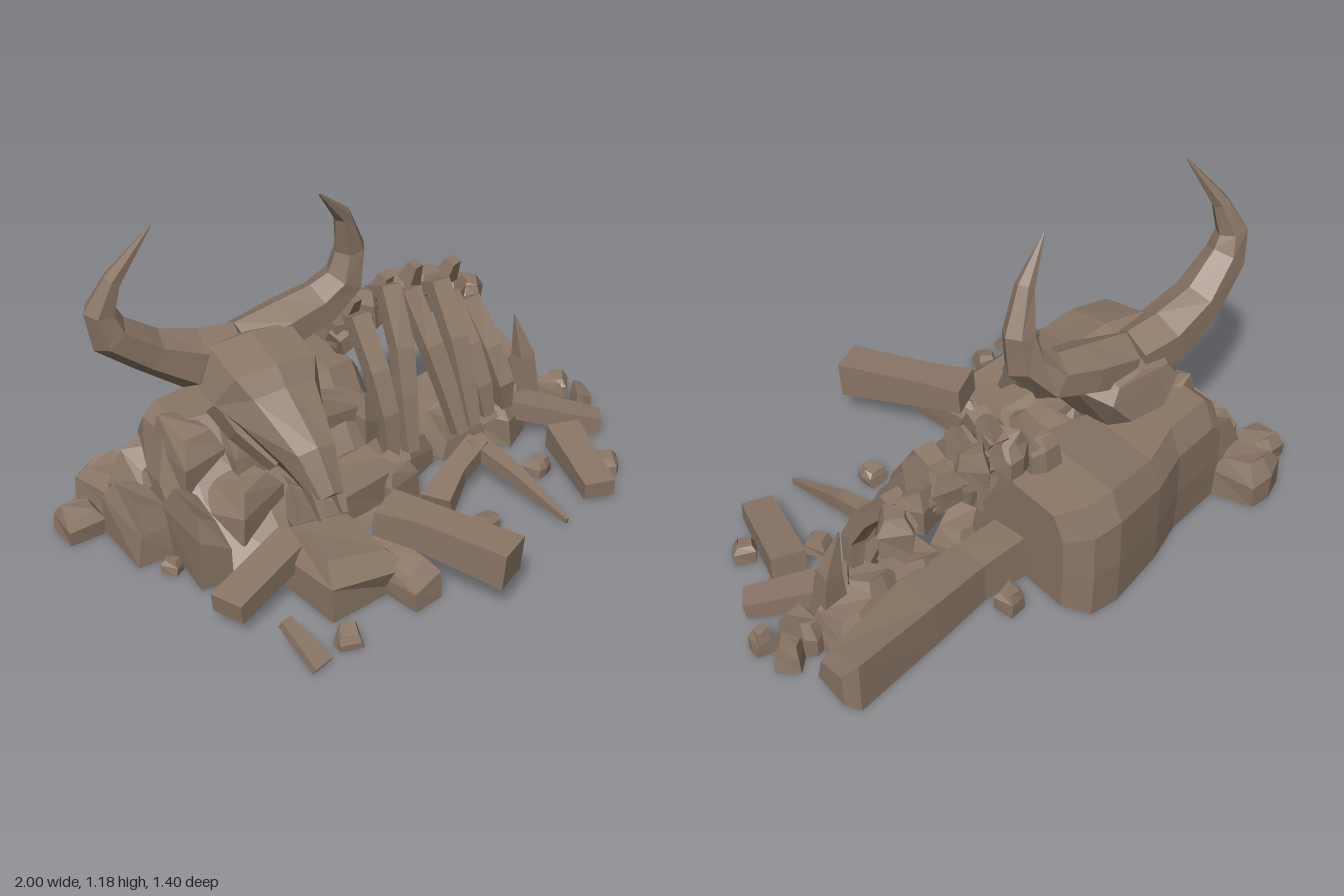
import * as THREE from 'three';

const bone = new THREE.MeshStandardMaterial({ color: 0x8a7666 });
bone.name = 'weathered brown';
const V = (x, y, z) => new THREE.Vector3(x, y, z);

function random(seed) {
  let s = seed * 7919 + 17;
  return () => (s = (s * 16807) % 2147483647) / 2147483647;
}

// Closed, faceted skin over a row of rings with equal point counts
function loft(rings) {
  const n = rings[0].length, tris = [];
  const quad = (a, b, c, d) => tris.push([a, b, c], [a, c, d]);
  for (let i = 0; i + 1 < rings.length; i++)
    for (let j = 0; j < n; j++) {
      const k = (j + 1) % n;
      quad(rings[i][j], rings[i][k], rings[i + 1][k], rings[i + 1][j]);
    }
  const a = rings[0], b = rings[rings.length - 1];
  for (let j = 1; j + 1 < n; j++) {
    tris.push([a[0], a[j + 1], a[j]], [b[0], b[j], b[j + 1]]);
  }
  // Turn the skin outward if its volume is negative
  let volume = 0;
  for (const [p, q, r] of tris) volume += p.dot(q.clone().cross(r));
  const pos = [];
  for (const [p, q, r] of tris)
    for (const v of volume < 0 ? [p, r, q] : [p, q, r]) pos.push(v.x, v.y, v.z);
  const geo = new THREE.BufferGeometry();
  geo.setAttribute('position', new THREE.Float32BufferAttribute(pos, 3));
  geo.computeVertexNormals();
  return geo;
}

// Bar along points [x, y, z, halfWidth, halfDepth]; ref sets the width direction
function bar(points, sides = 4, ref = null) {
  const p = points.map(q => V(q[0], q[1], q[2]));
  const whole = p[p.length - 1].clone().sub(p[0]);
  const axis = ref || V(-whole.z, 0, whole.x).normalize();
  const grow = sides === 4 ? Math.SQRT2 : 1;
  return loft(p.map((c, i) => {
    const dir = p[Math.min(i + 1, p.length - 1)].clone().sub(p[Math.max(i - 1, 0)]).normalize();
    const u = axis.clone().addScaledVector(dir, -axis.dot(dir)).normalize();
    const v = dir.clone().cross(u);
    const [, , , w, h = w] = points[i];
    return Array.from({ length: sides }, (_, j) => {
      const t = (j + 0.5) / sides * Math.PI * 2;
      return c.clone().addScaledVector(u, Math.cos(t) * w * grow).addScaledVector(v, Math.sin(t) * h * grow);
    });
  }));
}

// Irregular wedge-like block, corners shifted and top tilted by a seeded rule
function rock(x, y, z, w, h, d, turn, seed) {
  const rnd = random(seed + 3);
  rnd(); rnd();
  const tilt = (rnd() - 0.5) * 0.5;
  const rings = [[-0.5, 1], [0.05, 0.97], [0.42, 0.65]].map(([ly, s]) =>
    [[-1, -1], [0.1, -1.1], [1, -0.8], [1, 0.9], [-0.9, 1]].map(([lx, lz]) => {
      const k = () => 0.85 + rnd() * 0.28;
      const yy = ly < 0 ? ly : ly + (rnd() - 0.5) * 0.2 + tilt * lx * 0.5;
      return V(lx * s * w / 2 * k(), yy * h, lz * s * d / 2 * k())
        .applyAxisAngle(V(0, 1, 0), turn).add(V(x, y + h / 2, z));
    }));
  return loft(rings);
}

export function createModel() {
  const model = new THREE.Group();
  model.name = 'beastRemains';
  const add = (name, geo, parent = model) => {
    const m = new THREE.Mesh(geo, bone);
    m.name = name;
    parent.add(m);
  };
  const group = name => {
    const g = new THREE.Group();
    g.name = name;
    model.add(g);
    return g;
  };

  // Main mound: sections of x, back z, top y, top front z, front z
  add('mound', loft([
    [-0.71, -0.42, 0.22, -0.27, -0.04], [-0.67, -0.5, 0.37, -0.3, 0.03], [-0.62, -0.51, 0.41, -0.3, 0.06],
    [-0.43, -0.55, 0.41, -0.28, 0.14], [-0.28, -0.62, 0.4, -0.27, 0.1], [-0.05, -0.69, 0.44, -0.28, 0.05],
    [0.06, -0.69, 0.43, -0.31, 0.01], [0.11, -0.6, 0.36, -0.35, -0.03],
  ].map(([x, b, t, tf, f]) => [
    V(x, 0.01, b), V(x, t * 0.4, b - 0.005), V(x, t * 0.78, b), V(x, t, b + 0.05), V(x, t, tf),
    V(x, t * 0.45, tf + (f - tf) * 0.5), V(x, 0.01, f)])));

  // Low slab under the ribs
  add('sideSlab', loft([
    [0.08, -0.42, -0.2, 0.17], [0.28, -0.43, -0.2, 0.15], [0.52, -0.49, -0.2, 0.17],
    [0.87, -0.57, -0.38, 0.19], [0.9, -0.52, -0.38, 0.12],
  ].map(([x, b, f, t]) => [V(x, 0.01, b), V(x, t, b + 0.01), V(x, t * 0.85, (b + f) / 2 + 0.05), V(x, 0.02, f)])));

  // Skull: sections of centre x, top z y, bottom z y, half width
  const skull = group('skull');
  add('cranium', loft([
    [-0.37, -0.42, 0.62, -0.45, 0.47, 0.14], [-0.37, -0.24, 0.705, -0.37, 0.42, 0.2],
    [-0.37, -0.07, 0.665, -0.22, 0.38, 0.195], [-0.365, -0.025, 0.6, -0.08, 0.36, 0.15],
    [-0.345, 0.13, 0.45, 0.0, 0.305, 0.09], [-0.33, 0.2, 0.31, 0.12, 0.26, 0.055],
  ].map(([x, zt, yt, zb, yb, w]) => {
    const zm = zt * 0.55 + zb * 0.45, ym = yt * 0.55 + yb * 0.45;
    return [V(x - w * 0.75, yt - 0.015, zt), V(x, yt, zt + 0.01), V(x + w * 0.75, yt - 0.015, zt),
      V(x + w, ym, zm), V(x + w * 0.5, yb, zb), V(x - w * 0.5, yb, zb), V(x - w, ym, zm)];
  })), skull);
  for (const s of [-1, 1]) {
    add('noseProng', bar([[-0.33 + s * 0.04, 0.36, 0.1, 0.028, 0.04], [-0.33 + s * 0.04, 0.22, 0.205, 0.01, 0.01]]), skull);
    add('cheek', bar([[-0.37 + s * 0.16, 0.52, -0.17, 0.03, 0.05], [-0.365 + s * 0.135, 0.44, -0.1, 0.025, 0.04],
      [-0.35 + s * 0.07, 0.34, 0.0, 0.02, 0.03]], 4, V(1, 0, 0)), skull);
  }

  // Horns
  add('rightHorn', bar([[-0.4, 0.61, -0.31, 0.1, 0.1], [-0.55, 0.625, -0.31, 0.105, 0.105], [-0.7, 0.705, -0.31, 0.09, 0.075],
    [-0.835, 0.81, -0.29, 0.07, 0.07], [-0.86, 0.9, -0.285, 0.055, 0.055], [-0.82, 1.01, -0.26, 0.035, 0.03],
    [-0.71, 1.185, -0.2, 0.003, 0.003]], 6, V(0, 0, 1)), skull);
  add('leftHorn', bar([[-0.36, 0.61, -0.31, 0.1, 0.1], [-0.2, 0.655, -0.31, 0.105, 0.085], [-0.06, 0.69, -0.31, 0.09, 0.08],
    [0.02, 0.77, -0.285, 0.075, 0.07], [0.04, 0.88, -0.28, 0.055, 0.055], [-0.005, 1.02, -0.25, 0.035, 0.03],
    [-0.12, 1.14, -0.2, 0.003, 0.003]], 6, V(0, 0, 1)), skull);

  // Spine: drooping bar with a knuckle on each section
  const ribs = group('ribCage');
  add('spine', bar([[0.02, 0.48, -0.35, 0.05], [0.2, 0.54, -0.38, 0.045], [0.4, 0.56, -0.4, 0.045],
    [0.55, 0.52, -0.41, 0.05], [0.67, 0.39, -0.41, 0.015]], 5), ribs);
  [[0.07, 0.47], [0.19, 0.5], [0.32, 0.52], [0.44, 0.51], [0.53, 0.47], [0.61, 0.42]].forEach(([x, y], i) =>
    add('vertebra', rock(x, y, -0.4, 0.11, 0.13, 0.12, i * 0.5, i + 1), ribs));
  // Spines above the vertebrae
  for (const [x, y] of [[0.08, 0.64], [0.21, 0.69], [0.33, 0.7], [0.49, 0.67]])
    add('spineTip', bar([[x, 0.54, -0.41, 0.045], [x + 0.02, y, -0.35, 0.02]]), ribs);
  // Ribs: top x, foot x, top y, foot y, foot z
  for (const [x, fx, y, fy, fz] of [[0.09, 0.1, 0.57, 0.12, -0.12], [0.22, 0.16, 0.65, 0.14, -0.09],
    [0.29, 0.36, 0.61, 0.15, -0.08], [0.42, 0.42, 0.61, 0.16, -0.09], [0.46, 0.5, 0.55, 0.16, -0.12],
    [0.55, 0.6, 0.5, 0.15, -0.15]]) {
    const at = t => x + (fx - x) * t;
    add('rib', bar([[x, y - 0.05, -0.4, 0.035], [at(0.1), y, -0.31, 0.036, 0.035], [at(0.4), y * 0.74, -0.2, 0.035, 0.03],
      [at(0.75), y * 0.5, -0.14, 0.031, 0.028], [fx, fy, fz, 0.022, 0.025]], 4, V(1, 0, 0)), ribs);
  }

  // Stacked boulders: x, base y, z, width, height, depth, turn
  const pile = group('boulders');
  [[-0.6, 0.2, -0.28, 0.17, 0.23, 0.22, 0.1], [-0.69, 0.02, -0.05, 0.12, 0.26, 0.31, -0.1],
    [-0.5, 0.08, -0.1, 0.22, 0.2, 0.2, 0.3], [-0.42, 0.2, -0.2, 0.18, 0.2, 0.18, 0],
    [-0.1, 0.22, -0.24, 0.26, 0.2, 0.15, 0.05], [-0.1, 0.03, -0.05, 0.3, 0.19, 0.16, 0.1],
    [-0.3, 0.01, 0.02, 0.2, 0.19, 0.2, -0.2], [0.04, 0.13, -0.23, 0.12, 0.25, 0.18, 0.2],
    [-0.25, 0.12, -0.13, 0.2, 0.18, 0.16, 0.3], [-0.355, 0.01, 0.25, 0.33, 0.18, 0.39, 0.03],
    [-0.2, 0.01, 0.38, 0.13, 0.13, 0.28, 0.15], [-0.755, 0.01, -0.54, 0.18, 0.17, 0.2, 0.4],
    [-0.78, 0.01, -0.28, 0.16, 0.2, 0.26, 0], [-0.69, 0.01, -0.42, 0.19, 0.28, 0.17, 0.2],
    [0.04, 0.01, -0.04, 0.15, 0.17, 0.15, 0.3], [0.2, 0.01, -0.18, 0.16, 0.15, 0.14, 0.4],
    [0.42, 0.01, -0.22, 0.2, 0.15, 0.16, 0.1], [0.6, 0.01, -0.2, 0.17, 0.16, 0.19, 0.5],
    [0.73, 0.01, -0.28, 0.19, 0.16, 0.2, 0.2], [0.85, 0.01, -0.22, 0.09, 0.12, 0.14, 0.1],
  ].forEach((r, i) => add('boulder', rock(...r, i + 20), pile));

  // Loose stones around the edge: x, z, size, height
  const stones = group('looseStones');
  [[-0.93, -0.44, 0.14, 0.1], [-0.77, -0.08, 0.06, 0.05], [-0.49, 0.55, 0.08, 0.06], [0.24, -0.5, 0.08, 0.08],
    [0.93, -0.27, 0.09, 0.11], [0.97, -0.17, 0.06, 0.1], [0.57, 0.1, 0.08, 0.06], [0.78, 0.22, 0.08, 0.07],
    [0.22, 0.28, 0.08, 0.06]].forEach(([x, z, s, h], i) =>
    add('stone', rock(x, 0.01, z, s, h, s, i * 0.6, i + 50), stones));

  // Fallen bones and shards
  const fallen = group('fallenBones');
  add('jutBeam', bar([[-0.18, 0.215, 0.26, 0.075, 0.045], [-0.1, 0.2, 0.39, 0.06, 0.055], [0.045, 0.17, 0.665, 0.065, 0.065]]), fallen);
  add('sideBeam', bar([[-0.77, 0.09, 0.29, 0.06, 0.035], [-0.45, 0.14, 0.16, 0.06, 0.04]]), fallen);
  add('leaningShard', bar([[-0.62, 0.02, 0.61, 0.04, 0.015], [-0.67, 0.12, 0.47, 0.02, 0.015]]), fallen);
  add('cornerBeam', bar([[0.64, 0.13, -0.19, 0.06, 0.035], [0.92, 0.05, 0.0, 0.045, 0.03]]), fallen);
  add('thickBone', bar([[0.73, 0.08, 0.03, 0.06, 0.045], [0.64, 0.055, 0.36, 0.055, 0.03]]), fallen);
  add('crookedBone', bar([[0.12, 0.05, 0.13, 0.055, 0.04], [0.25, 0.09, 0.05, 0.04, 0.03], [0.4, 0.12, -0.02, 0.04, 0.03]]), fallen);
  add('fallenRib', bar([[0.39, 0.12, -0.04, 0.035, 0.03], [0.42, 0.09, 0.18, 0.025, 0.025], [0.455, 0.03, 0.42, 0.006, 0.01]]), fallen);
  add('uprightSpike', bar([[0.74, 0.08, -0.22, 0.05, 0.04], [0.75, 0.27, -0.24, 0.03, 0.03], [0.72, 0.43, -0.26, 0.002, 0.002]], 4, V(1, 0, 0)), fallen);
  add('shortSpike', bar([[0.51, 0.12, -0.13, 0.04, 0.03], [0.49, 0.32, -0.22, 0.003, 0.003]], 4, V(1, 0, 0)), fallen);
  return model;
}
